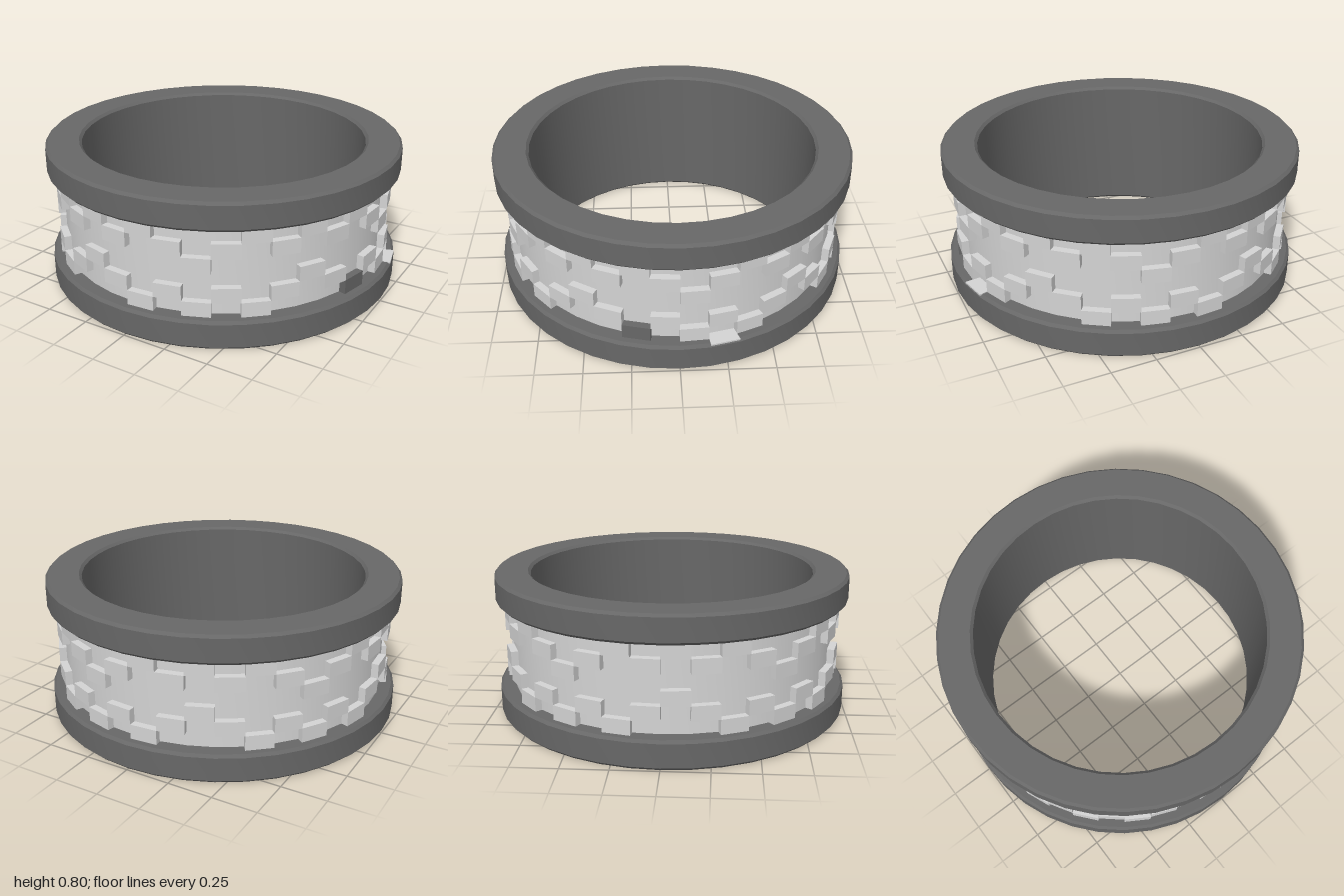
import * as THREE from 'three';
import { mergeGeometries, toCreasedNormals } from 'three/addons/utils/BufferGeometryUtils.js';

const SEGMENTS = 40;
const STEP = (Math.PI * 2) / SEGMENTS;
const BOTTOM = 0.16, TOP = 0.645, ROW_HEIGHT = (TOP - BOTTOM) / 6;

// Smooth around the ring, sharp along the chamfers
function lathe(points) {
  const geo = new THREE.LatheGeometry(points.map(([r, y]) => new THREE.Vector2(r, y)), SEGMENTS);
  return toCreasedNormals(geo, 0.35);
}

// Box bent onto one facet of the ring: column sets the angle, then heights and radii
function wedge(column, y0, y1, r0, r1) {
  const geo = new THREE.BoxGeometry(1, 1, 1);
  const p = geo.attributes.position;
  for (let i = 0; i < p.count; i++) {
    const a = (column + 0.5 + p.getX(i)) * STEP;
    const y = p.getY(i) > 0 ? y1 : y0;
    const r = p.getZ(i) > 0 ? r1 : r0;
    p.setXYZ(i, r * Math.sin(a), y, r * Math.cos(a));
  }
  geo.computeVertexNormals();
  return geo;
}

function block(column, row) {
  const y1 = TOP - row * ROW_HEIGHT;
  return wedge(column, y1 - ROW_HEIGHT, y1, 0.9, 0.955);
}

export function createModel() {
  const group = new THREE.Group();
  const dark = new THREE.MeshStandardMaterial({ color: 0x676767 });
  dark.name = 'darkGrey';
  const light = new THREE.MeshStandardMaterial({ color: 0xd4d4d4 });
  light.name = 'lightGrey';
  const add = (name, geo, mat) => {
    const mesh = new THREE.Mesh(geo, mat);
    mesh.name = name;
    group.add(mesh);
  };

  // Ring body: two chamfered rims joined by the inner wall
  add('ringBody', lathe([
    [0.815, 0], [0.985, 0], [1, 0.015], [1, 0.145], [0.985, 0.16], [0.9, 0.16],
    [0.9, 0.645], [0.985, 0.645], [1, 0.66], [1, 0.785], [0.985, 0.8],
    [0.815, 0.8], [0.8, 0.785], [0.8, 0.015], [0.815, 0],
  ]), dark);

  // Light band in the groove
  add('band', lathe([[0.915, BOTTOM], [0.915, TOP]]), light);

  // Two zigzag chains of raised blocks, repeating every eight columns
  const upperRows = [0, 1, 2, 1, 0, 1, 0, 1];
  const lowerRows = [5, 4, 5, 4, 5, 4, 3, 4];
  const upper = [], lower = [];
  for (let c = 0; c < SEGMENTS; c++) {
    upper.push(block(c, upperRows[c % 8]));
    if (c !== 8) lower.push(block(c, lowerRows[c % 8]));
  }
  add('upperBlocks', mergeGeometries(upper), light);
  add('lowerBlocks', mergeGeometries(lower), light);

  // Single dark block and a thin tab lying on the lower rim
  add('darkBlock', block(8, 5), dark);
  add('rimTab', wedge(11, 0.155, 0.164, 0.9, 1), light);

  return group;
}
